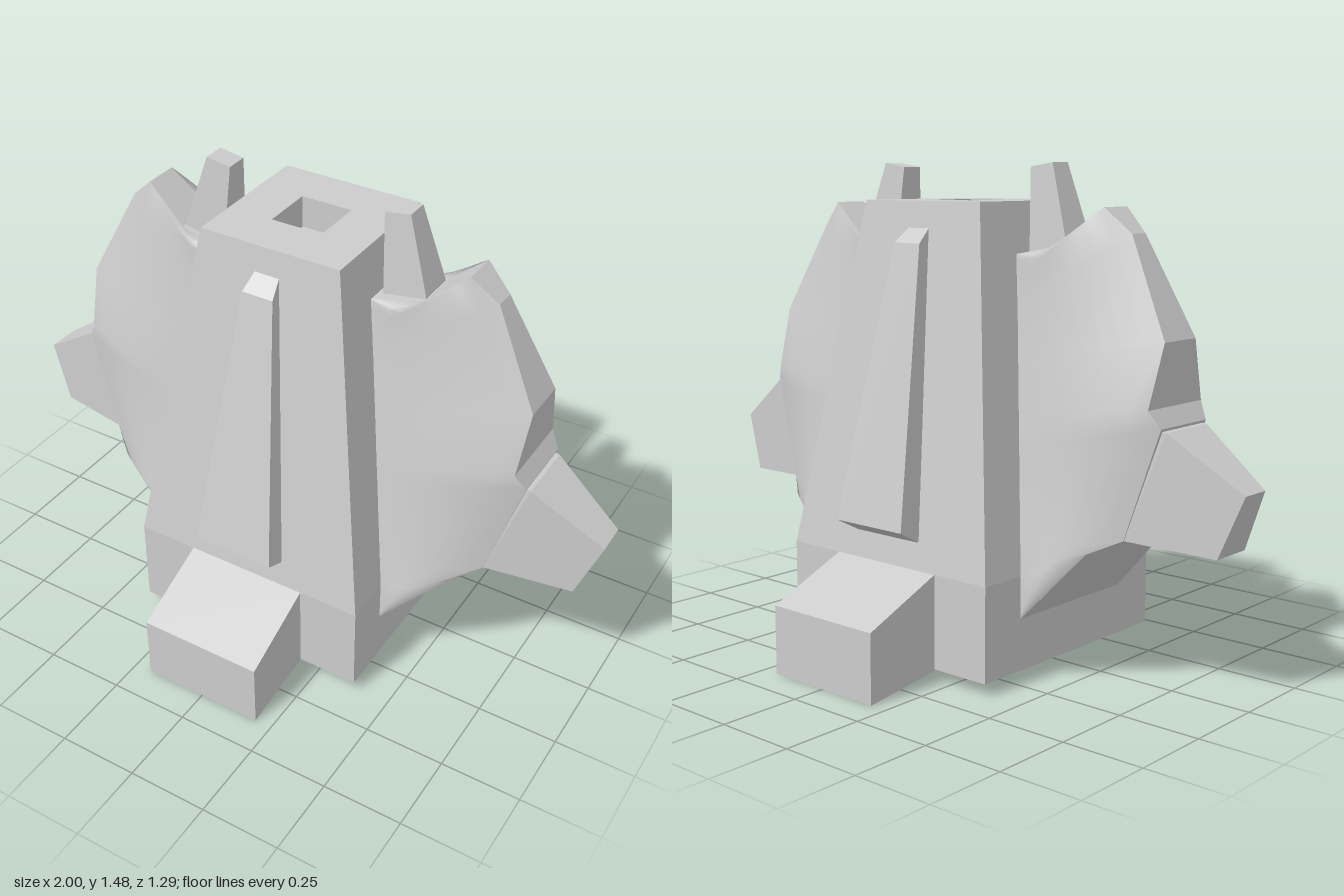
import * as THREE from 'three';

const flat = new THREE.MeshStandardMaterial({ color: 0xcccccc, flatShading: true });
const smooth = new THREE.MeshStandardMaterial({ color: 0xcccccc });

function mesh(name, geometry, material = flat) {
  const m = new THREE.Mesh(geometry, material);
  m.name = name;
  return m;
}

function geometryFrom(positions, index) {
  const g = new THREE.BufferGeometry();
  g.setAttribute('position', new THREE.Float32BufferAttribute(positions, 3));
  g.setIndex(index);
  g.computeVertexNormals();
  return g;
}

// Solid from a counter-clockwise outline of [x, y, half depth]; an open one gets only its rim
function slab(outline, caps = true) {
  const pos = [], idx = [], n = outline.length;
  for (const [x, y, h] of outline) pos.push(x, y, h, x, y, -h);
  for (let i = 0; i < (caps ? n : n - 1); i++) {
    const a = 2 * i, b = 2 * ((i + 1) % n);
    idx.push(a, a + 1, b + 1, a, b + 1, b);
  }
  for (let i = 1; caps && i < n - 1; i++) {
    idx.push(0, 2 * i, 2 * i + 2, 1, 2 * i + 3, 2 * i + 1);
  }
  return geometryFrom(pos, idx);
}

// Wing rim and the matching line along the body, both as [x, y, half depth]
const rim = [
  [0.39, 0.195, 0.235], [0.59, 0.41, 0.2], [0.67, 0.45, 0.135], [0.77, 0.77, 0.11],
  [0.74, 0.82, 0.13], [0.753, 1.0, 0.075], [0.61, 1.285, 0.032], [0.53, 1.357, 0.055],
  [0.405, 1.25, 0.07], [0.25, 1.22, 0.09],
];
const rootHeights = [0.195, 0.32, 0.4, 0.68, 0.76, 0.9, 1.06, 1.13, 1.19, 1.22];
const root = rootHeights.map((y) => {
  const t = Math.max(0, (y - 0.32) / 0.9);
  return [0.385 - 0.145 * t, y, 0.235 - 0.145 * t];
});

// Smooth, slightly bulging side of the wing; sign picks the front or back
function wingSide(sign) {
  const steps = 8, pos = [], idx = [];
  for (let k = 0; k < rim.length; k++) {
    const bulge = (k === 0 || k === rim.length - 1) ? 0 : 0.022;
    for (let s = 0; s <= steps; s++) {
      const t = s / steps;
      const [x, y, z] = root[k].map((v, i) => v + (rim[k][i] - v) * t);
      pos.push(x, y, sign * (z + bulge * Math.sin(Math.PI * t)));
    }
  }
  for (let k = 0; k < rim.length - 1; k++) {
    for (let s = 0; s < steps; s++) {
      const a = k * (steps + 1) + s, b = a + 1, c = b + steps + 1, d = c - 1;
      if (sign > 0) idx.push(a, b, c, a, c, d);
      else idx.push(a, c, b, a, d, c);
    }
  }
  return geometryFrom(pos, idx);
}

export function createModel() {
  const model = new THREE.Group();
  model.name = 'taperedTower';

  // Square tapered body with a socket in the top
  const q = Math.SQRT2;
  const profile = [[0, 0.04], [0.388, 0.04], [0.388, 0.32], [0.226, 1.37],
    [0.082, 1.37], [0.082, 1.27], [0, 1.27]].map(([r, y]) => new THREE.Vector2(r * q, y));
  model.add(mesh('body', new THREE.LatheGeometry(profile, 4, Math.PI / 4)));

  // Each side part is built once and turned half way round for its twin
  for (const [i, turn] of [0, Math.PI].entries()) {
    const side = new THREE.Group();
    side.name = i ? 'rightWing' : 'leftWing';
    side.rotation.y = turn;
    side.add(
      mesh('wingFront', wingSide(1), smooth),
      mesh('wingBack', wingSide(-1), smooth),
      mesh('wingRim', slab(rim, false)),
      mesh('spike', slab([[0.67, 0.45, 0.132], [0.93, 0.43, 0.07], [1, 0.61, 0.05],
        [0.78, 0.76, 0.1], [0.72, 0.77, 0.1]])),
      mesh('horn', slab([[0.27, 1.18, 0.06], [0.4, 1.235, 0.06], [0.402, 1.255, 0.058],
        [0.333, 1.48, 0.035], [0.253, 1.468, 0.035]])),
    );

    // Foot and raised rib on the front and back
    const face = new THREE.Group();
    face.name = i ? 'backFace' : 'frontFace';
    face.rotation.y = turn;
    const foot = slab([[0.36, 0.04, 0.196], [0.388, 0.04, 0.196], [0.645, 0.003, 0.196],
      [0.645, 0.21, 0.196], [0.388, 0.32, 0.196], [0.36, 0.32, 0.196]]);
    const rib = slab([[0.35, 0.4, 0.12], [0.378, 0.4, 0.122], [0.456, 0.442, 0.13],
      [0.288, 1.25, 0.05], [0.238, 1.292, 0.04], [0.21, 1.292, 0.04]]);
    face.add(mesh('foot', foot.rotateY(-Math.PI / 2)), mesh('rib', rib.rotateY(-Math.PI / 2)));

    model.add(side, face);
  }
  return model;
}
